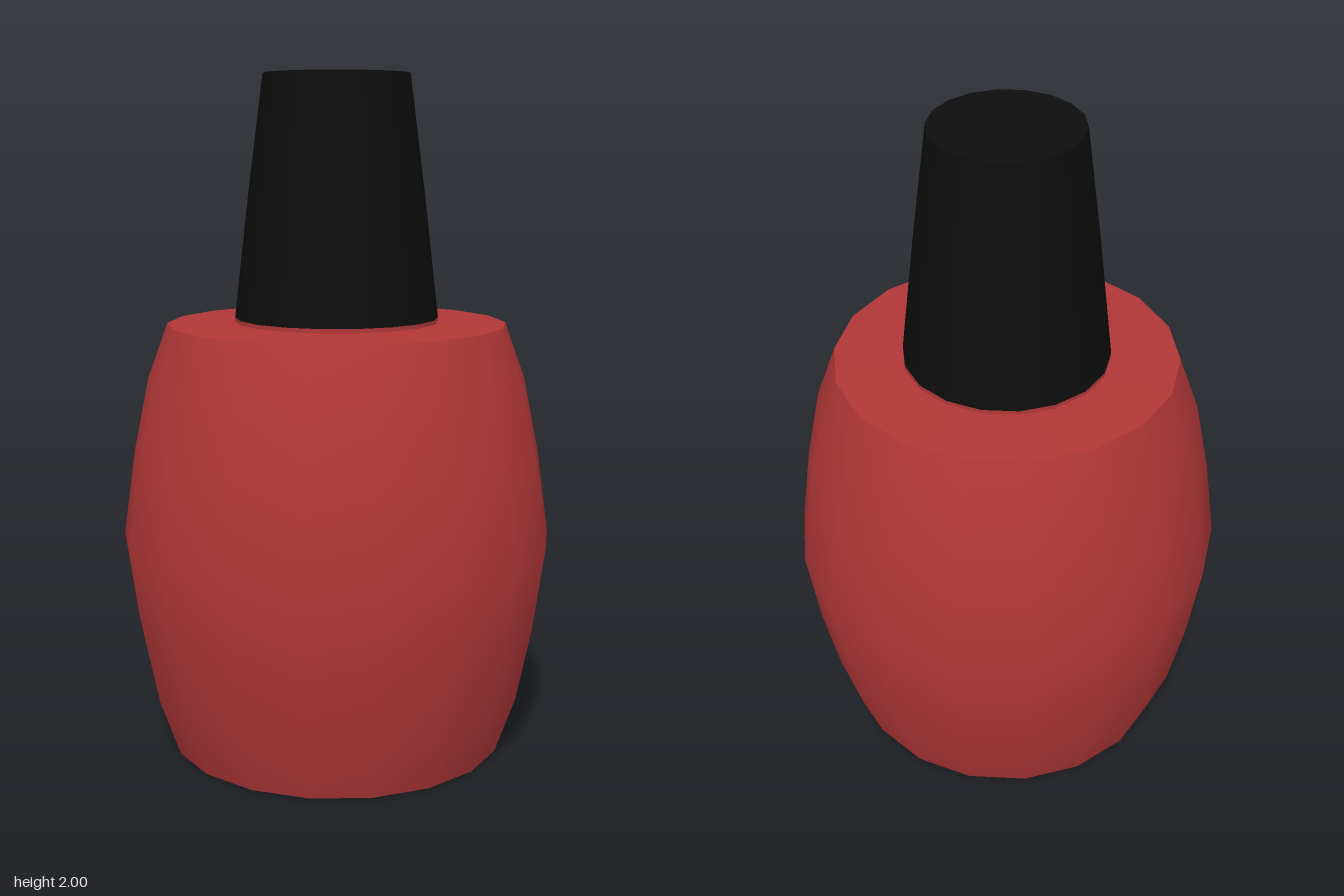
import * as THREE from 'three';

const SIDES = 18;

function createMaterial(name, color) {
  const material = new THREE.MeshStandardMaterial({ color });
  material.name = name;
  return material;
}

// Revolve a profile of [radius, height] pairs, listed from bottom to top
function turned(name, profile, material) {
  const points = profile.map(([r, y]) => new THREE.Vector2(r, y));
  const mesh = new THREE.Mesh(new THREE.LatheGeometry(points, SIDES, Math.PI / 2), material);
  mesh.name = name;
  return mesh;
}

export function createModel() {
  const model = new THREE.Group();
  model.name = 'nailPolishBottle';
  const red = createMaterial('polish red', 0xb13737);
  const black = createMaterial('cap black', 0x0d0d0d);

  // Barrel-shaped bottle, in separate pieces so its rims stay sharp
  const bottle = new THREE.Group();
  bottle.name = 'bottle';
  bottle.add(
    turned('bottleBase', [[0, 0], [0.5, 0]], red),
    turned('bottleWall', [
      [0.5, 0], [0.56, 0.17], [0.605, 0.39], [0.64, 0.64],
      [0.605, 0.89], [0.56, 1.11], [0.5, 1.275],
    ], red),
    turned('bottleShoulder', [[0.5, 1.275], [0.33, 1.28]], red),
    turned('neckLedge', [[0.33, 1.28], [0.3, 1.28]], red),
    turned('neck', [[0.3, 1.28], [0.3, 1.292]], red),
  );

  // Tapered cap with a barely domed top
  const cap = new THREE.Group();
  cap.name = 'cap';
  cap.add(
    turned('capUnderside', [[0, 1.29], [0.3, 1.29]], black),
    turned('capWall', [[0.3, 1.29], [0.258, 1.65], [0.213, 1.996]], black),
    turned('capTop', [[0.213, 1.996], [0, 2]], black),
  );

  model.add(bottle, cap);
  return model;
}
